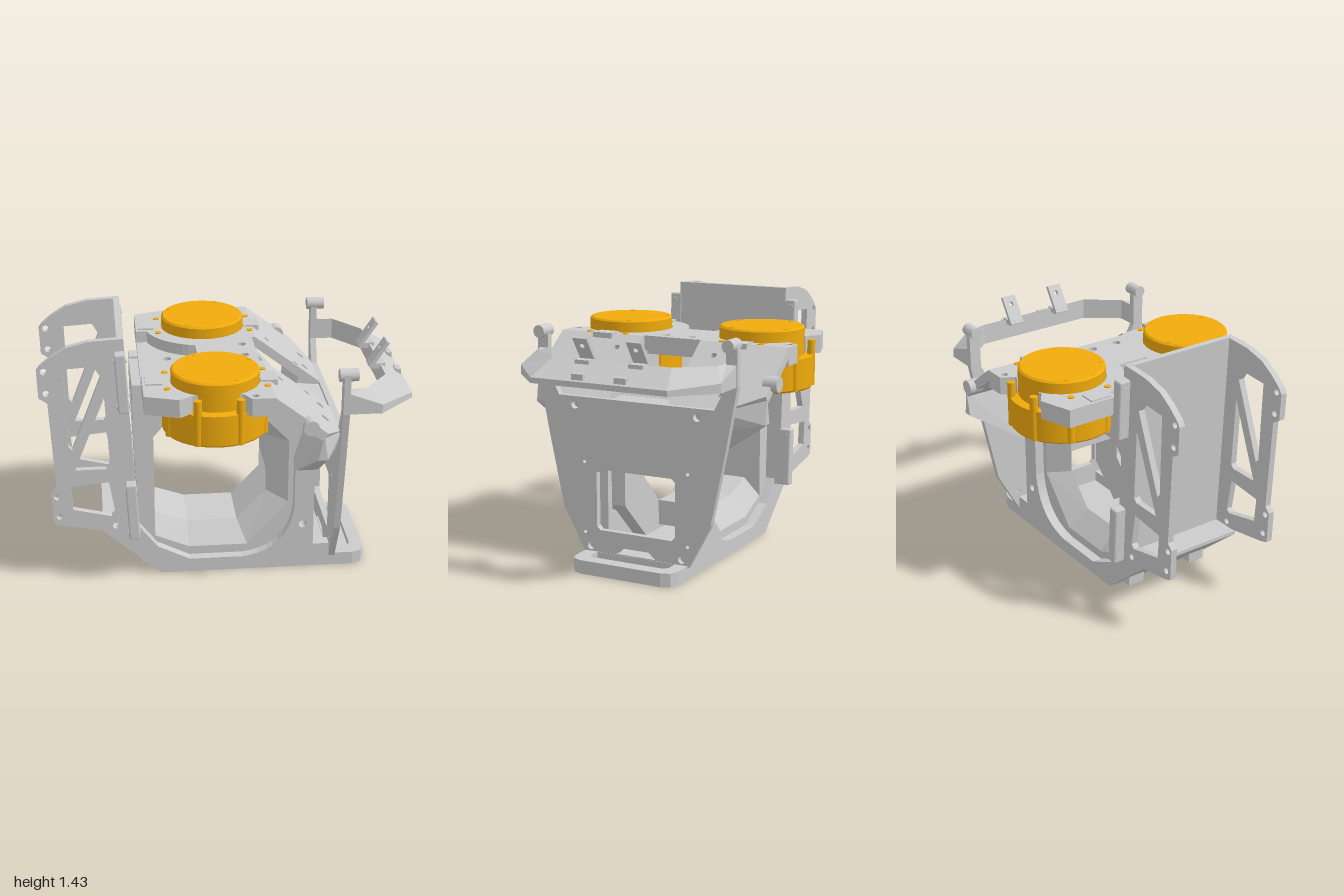
import * as THREE from 'three';
import { ConvexGeometry } from 'three/addons/geometries/ConvexGeometry.js';
import { RoundedBoxGeometry } from 'three/addons/geometries/RoundedBoxGeometry.js';
import { toCreasedNormals } from 'three/addons/utils/BufferGeometryUtils.js';

const grey = new THREE.MeshStandardMaterial({ color: 0xcccccc, side: THREE.DoubleSide });
const gold = new THREE.MeshStandardMaterial({ color: 0xf0ab0c });
const MX = -0.065, MZ = 0.415; // motor axis

const toPath = (pts, Type = THREE.Shape) => new Type(pts.map(([x, y]) => new THREE.Vector2(x, y)));
const mirrorY = (half) => [...half, ...half.map(([x, y]) => [x, -y]).reverse()];
const mirrorX = (half) => [...half, ...half.map(([x, y]) => [-x, y]).reverse()];
const rect = (x0, x1, y0, y1) => [[x0, y0], [x1, y0], [x1, y1], [x0, y1]];
// Points from angle a0 to a1 round (x, y)
const arc = (x, y, r, a0, a1, n) => Array.from({ length: n + 1 }, (_, i) => {
  const a = a0 + (i / n) * (a1 - a0);
  return [x + r * Math.cos(a), y + r * Math.sin(a)];
});
const circle = (x, y, r) => arc(x, y, r, 0, Math.PI * 2, 16).slice(1);

function extrude(outline, holes, depth) {
  const shape = toPath(outline);
  holes.forEach((h) => shape.holes.push(toPath(h, THREE.Path)));
  return new THREE.ExtrudeGeometry(shape, { depth, bevelEnabled: false });
}
// Outline in x/z, with its upper face at y = top
const slab = (outline, holes, top, t) => extrude(outline, holes, t).rotateX(Math.PI / 2).translate(0, top, 0);
// Outline in x/y, running from z0 to z1
const slice = (outline, holes, z0, z1) => extrude(outline, holes, z1 - z0).translate(0, 0, z0);

// Skin over loops of [x, y, z] points; the list of loops may close on itself or be capped
function loft(loops, closed) {
  const n = loops[0].length, m = loops.length, index = [];
  for (let i = 0; i < (closed ? m : m - 1); i++) {
    for (let j = 0; j < n; j++) {
      const a = i * n + j, b = i * n + (j + 1) % n;
      const c = ((i + 1) % m) * n + j, d = ((i + 1) % m) * n + (j + 1) % n;
      index.push(a, b, d, a, d, c);
    }
  }
  if (!closed) {
    for (let j = 1; j < n - 1; j++) {
      index.push(0, j + 1, j, (m - 1) * n, (m - 1) * n + j, (m - 1) * n + j + 1);
    }
  }
  const g = new THREE.BufferGeometry();
  g.setAttribute('position', new THREE.Float32BufferAttribute(loops.flat(2), 3));
  g.setIndex(index);
  const flat = g.toNonIndexed();
  flat.computeVertexNormals();
  return flat;
}

export function createModel() {
  const model = new THREE.Group();
  const add = (name, geometry, material = grey, parent = model) => {
    const mesh = new THREE.Mesh(geometry, material);
    mesh.name = name;
    parent.add(mesh);
    return mesh;
  };
  const cyl = (r, h, n = 20) => new THREE.CylinderGeometry(r, r, h, n);

  // Base plate: slotted underside, and a recessed front tray
  const basePlan = mirrorY([[-0.36, 0.315], [0.73, 0.315], [0.78, 0.295], [0.8, 0.245]]);
  add('basePlate', slab(basePlan, [-0.16, 0, 0.16].map((z) => rect(-0.3, 0.48, z - 0.038, z + 0.038)), 0.04, 0.04));
  add('baseRim', slab(basePlan, [mirrorY([[0.63, 0.24], [0.7, 0.24], [0.73, 0.21]])], 0.075, 0.035));

  // Curved cradle: two cheeks joined by a ramp at the back
  const bend = new THREE.QuadraticBezierCurve(new THREE.Vector2(0.39, 0.38), new THREE.Vector2(0.36, 0.11), new THREE.Vector2(0.1, 0.08));
  const cheek = [[-0.68, 0.28], [-0.405, 0.04], [0.6, 0.04], [0.6, 0.14], [0.5, 0.14], [0.5, 0.65], [0.39, 0.65],
    ...bend.getPoints(10).map((p) => [p.x, p.y]), [-0.2, 0.08], [-0.38, 0.17], [-0.48, 0.3], [-0.68, 0.3]];
  for (const z of [-0.315, 0.245]) add('cradleCheek', slice(cheek, [circle(0.44, 0.27, 0.022)], z, z + 0.07));
  add('cradleRamp', slice([[-0.68, 0.28], [-0.36, 0], [-0.3, 0.04], [-0.48, 0.3], [-0.68, 0.3]], [], -0.315, 0.315));

  // Inner ring: a flared mouth on each side, and a middle band open towards the front panel
  const outer = [[-0.47, 0.04], [-0.3, 0.045], [0.2, 0.045], [0.46, 0.3], [0.46, 0.84], [0.22, 1.13], [-0.5, 1.13], [-0.5, 0.9]];
  const wide = [[-0.39, 0.21], [-0.2, 0.13], [0.13, 0.13], [0.36, 0.39], [0.36, 0.765], [0.24, 0.89], [-0.33, 0.89], [-0.39, 0.82]];
  const narrow = [[-0.39, 0.31], [-0.2, 0.245], [0.08, 0.245], [0.245, 0.42], [0.245, 0.765], [0.13, 0.89], [-0.33, 0.89], [-0.39, 0.82]];
  const at = (loop, z) => loop.map(([x, y]) => [x, y, z]);
  const mouth = [at(outer, 0.16), at(outer, 0.26), at(wide, 0.26), at(narrow, 0.16)];
  const flip = (loop) => loop.map(([x, y, z]) => [x, y, -z]);
  add('ringMouth', loft(mouth, true));
  add('ringMouth', loft(mouth.map(flip).reverse(), true));
  add('ringBand', slice([[0.245, 0.55], [0.245, 0.765], [0.13, 0.89], [-0.33, 0.89], [-0.39, 0.82], [-0.39, 0.31], [-0.2, 0.245],
    [0.08, 0.245], [0.08, 0.1], [-0.47, 0.1], [-0.5, 1.12], [-0.42, 1.12], [-0.42, 0.92], [0.15, 0.92], [0.285, 0.78], [0.285, 0.55]],
  [], -0.16, 0.16));

  // Deck: thin sheet and thicker layer, cut out around both motors
  const side = [[-0.45, 0.62], [-0.27, 0.68], [-0.2, 0.63], ...arc(MX, MZ, 0.24, 2.03, 7.39, 28),
    [0.06, 0.63], [0.1, 0.7], [0.22, 0.7], [0.22, 0.18], [0.2, 0.18]];
  const scoop = [[-0.13, 0.08], ...arc(MX, MZ, 0.335, 4.515, 3.4, 10), [-0.45, 0.33]];
  const holes = [], sheetHoles = [];
  for (const s of [1, -1]) {
    holes.push(circle(0.13, s * 0.08, 0.024), circle(0.12, s * 0.66, 0.02));
    sheetHoles.push(circle(-0.29, s * 0.06, 0.024));
  }
  add('deckSheet', slab(mirrorY(side), [...holes, ...sheetHoles], 1.15, 0.035));
  add('deckLayer', slab(mirrorY([...scoop, ...side]), holes, 1.215, 0.066));

  for (const s of [1, -1]) {
    for (const x of [0.215, -0.39]) add('motorClamp', new THREE.BoxGeometry(0.09, 0.03, 0.12)).position.set(x, 1.208, s * MZ);

    // Sloping front deck, split by an open gap
    const slope = add('slopingDeck', slab([[0, 0.18], [0, 0.7], [0.352, 0.7], [0.478, 0.5], [0.478, 0.18]].map(([u, z]) => [u, s * z]),
      [[0.38, 0.28, 0.024], [0.38, 0.46, 0.024], [0.1, 0.3, 0.018], [0.3, 0.22, 0.018]].map(([u, z, r]) => circle(u, s * z, r)), 0, 0.05));
    slope.position.set(0.22, 1.215, 0);
    slope.rotation.z = -0.652;

    // Chin below the sloping deck, narrowing downwards
    const chin = [[0.48, 0.99, 0.7], [0.45, 0.85, 0.7], [0.5, 0.85, 0.7], [0.6, 0.91, 0.5], [0.575, 0.82, 0.5], [0.5, 0.65, 0.4],
      [0.385, 0.65, 0.4], [0.45, 0.86, 0.4], [0.48, 0.99, 0.18], [0.6, 0.91, 0.18], [0.575, 0.82, 0.18], [0.5, 0.65, 0.18],
      [0.385, 0.65, 0.18], [0.45, 0.86, 0.18]];
    add('chinSide', new ConvexGeometry(chin.map(([x, y, z]) => new THREE.Vector3(x, y, s * z))));
  }
  add('chinMiddle', slice([[0.385, 0.65], [0.5, 0.65], [0.575, 0.82], [0.6, 0.91], [0.46, 0.925], [0.45, 0.86]], [], -0.18, 0.18));

  // Front panel with a window and tall corner posts
  const panelHoles = [mirrorX([[0.22, 0.2], [0.24, 0.22], [0.24, 0.52], [0.22, 0.54]]), mirrorX([[0.12, 0.08], [0.08, 0.115]])];
  for (const s of [1, -1]) {
    for (const [z, y, r] of [[0.28, 0.105, 0.022], [0.315, 0.18, 0.01], [0.315, 0.575, 0.01], [0.37, 0.885, 0.024]]) {
      panelHoles.push(circle(s * z, y, r));
    }
  }
  add('frontPanel', extrude(mirrorX([[0.315, 0.06], [0.45, 0.31], [0.54, 0.74], [0.6, 1.06], [0.6, 1.28], [0.535, 1.28], [0.535, 1.06], [0.47, 0.93]]),
    panelHoles, 0.035).rotateY(Math.PI / 2).translate(0.592, 0, 0));

  // Bumper rail: section from outer bottom round to inner bottom
  const rail = [[0.61, 0.595, 0.61, 0.535, 1.18], [0.8, 0.595, 0.72, 0.535, 1.11], [1.0, 0.4, 0.86, 0.35, 1.09]]
    .map(([ox, oz, ix, iz, top]) => [[ox, 1.06, oz], [ox, top, oz], [ix, 1.18, iz], [ix, 1.06, iz]]);
  add('bumper', loft([...rail, ...rail.map(flip).reverse()], false));
  for (const s of [1, -1]) {
    add('postKnob', cyl(0.034, 0.1).rotateZ(Math.PI / 2)).position.set(0.62, 1.272, s * 0.565);
    const tab = add('bumperTab', extrude(rect(-0.0425, 0.0425, 0, 0.17), [circle(0, 0.12, 0.014)], 0.02).rotateY(Math.PI / 2));
    tab.position.set(0.8, 1.165, s * 0.158);
    tab.rotation.z = -0.58;
    add('bumperTabFoot', new THREE.BoxGeometry(0.08, 0.03, 0.085)).position.set(0.85, 1.167, s * 0.158);
    add('bumperNotchBlock', new THREE.BoxGeometry(0.03, 0.055, 0.07)).position.set(0.975, 1.1, s * 0.125);
    add('sideKnob', cyl(0.042, 0.08).rotateX(Math.PI / 2)).position.set(0.405, 1.05, s * 0.695);
  }

  // Motors
  const profile = [[0, 0.945], [0.05, 0.945], [0.055, 0.93], [0.1, 0.93], [0.105, 0.95], [0.13, 0.95], [0.135, 0.932], [0.175, 0.932],
    [0.185, 0.945], [0.275, 0.945], [0.283, 0.955], [0.283, 1.12], [0.235, 1.125], [0.235, 1.272], [0.225, 1.282], [0, 1.282]];
  const body = toCreasedNormals(new THREE.LatheGeometry(profile.map(([r, y]) => new THREE.Vector2(r, y)), 48), 0.5);
  for (const s of [1, -1]) {
    const motor = new THREE.Group();
    motor.name = 'motor';
    motor.position.set(MX, 0, s * MZ);
    motor.scale.z = s;
    model.add(motor);
    add('motorBody', body, gold, motor);
    const ring = (name, r, n, start, y, radius, h) => {
      for (const [x, z] of arc(0, 0, r, start, start + Math.PI * 2, n).slice(1)) {
        add(name, cyl(radius, h, 12), gold, motor).position.set(x, y, z);
      }
    };
    ring('capScrew', 0.21, 4, 1.1, 1.281, 0.014, 0.006);
    ring('hubScrew', 0.078, 8, 0, 0.93, 0.012, 0.008);
    // Ribs: tall on the open outer side, short below the deck elsewhere
    for (const deg of [24, 66, 114, 156, 204, 246, 294, 336]) {
      const a = deg * Math.PI / 180, tall = deg === 66 || deg === 114;
      add('motorRib', cyl(0.022, tall ? 0.25 : 0.16, 12), gold, motor).position.set(0.272 * Math.cos(a), tall ? 1.075 : 1.03, 0.272 * Math.sin(a));
    }
    for (const x of [-0.26, 0.265]) {
      for (const z of [-0.115, 0.115]) add('deckScrew', cyl(0.018, 0.012, 12), gold, motor).position.set(x, 1.214, z);
    }
  }

  // Rear bracket: tilted wall, two lightened side plates and mounting lugs
  add('bracketWall', slice([[-0.54, 1.43], [-0.575, 1.43], [-0.52, 0.27], [-0.48, 0.27]], [], -0.32, 0.32));
  const plate = [[-0.54, 1.43], [-0.72, 1.42], [-0.84, 1.39], [-0.92, 1.34], [-0.98, 1.29], [-1, 1.26], [-0.995, 1.11], [-0.95, 1.08],
    [-0.925, 0.57], [-0.955, 0.54], [-0.95, 0.36], [-0.91, 0.345], [-0.66, 0.3], [-0.6, 0.28], [-0.48, 0.27]];
  const cutouts = [[[-0.86, 1.27], [-0.7, 1.28], [-0.665, 1.22], [-0.83, 0.8], [-0.85, 0.82]],
    [[-0.65, 1.1], [-0.63, 0.7], [-0.65, 0.68], [-0.82, 0.68]],
    [[-0.85, 0.58], [-0.64, 0.6], [-0.61, 0.41], [-0.63, 0.39], [-0.84, 0.44]],
    ...[[-0.962, 1.26], [-0.955, 1.135], [-0.925, 0.52], [-0.915, 0.4], [-0.61, 0.33]].map(([x, y]) => circle(x, y, 0.018))];
  for (const s of [1, -1]) {
    add('bracketSidePlate', slice(plate, cutouts, s * 0.328 - 0.018, s * 0.328 + 0.018));
    for (const [x, y] of [[-0.555, 1.195], [-0.515, 0.435]]) {
      const lug = add('bracketLug', new RoundedBoxGeometry(0.06, 0.335, 0.075, 1, 0.01));
      lug.position.set(x, y, s * 0.371);
      lug.rotation.z = 0.05;
      for (const e of [1, -1]) {
        add('lugBolt', cyl(0.014, 0.068, 10).rotateZ(Math.PI / 2)).position.set(x - e * 0.006, y + e * 0.13, s * 0.38);
      }
    }
  }
  return model;
}
